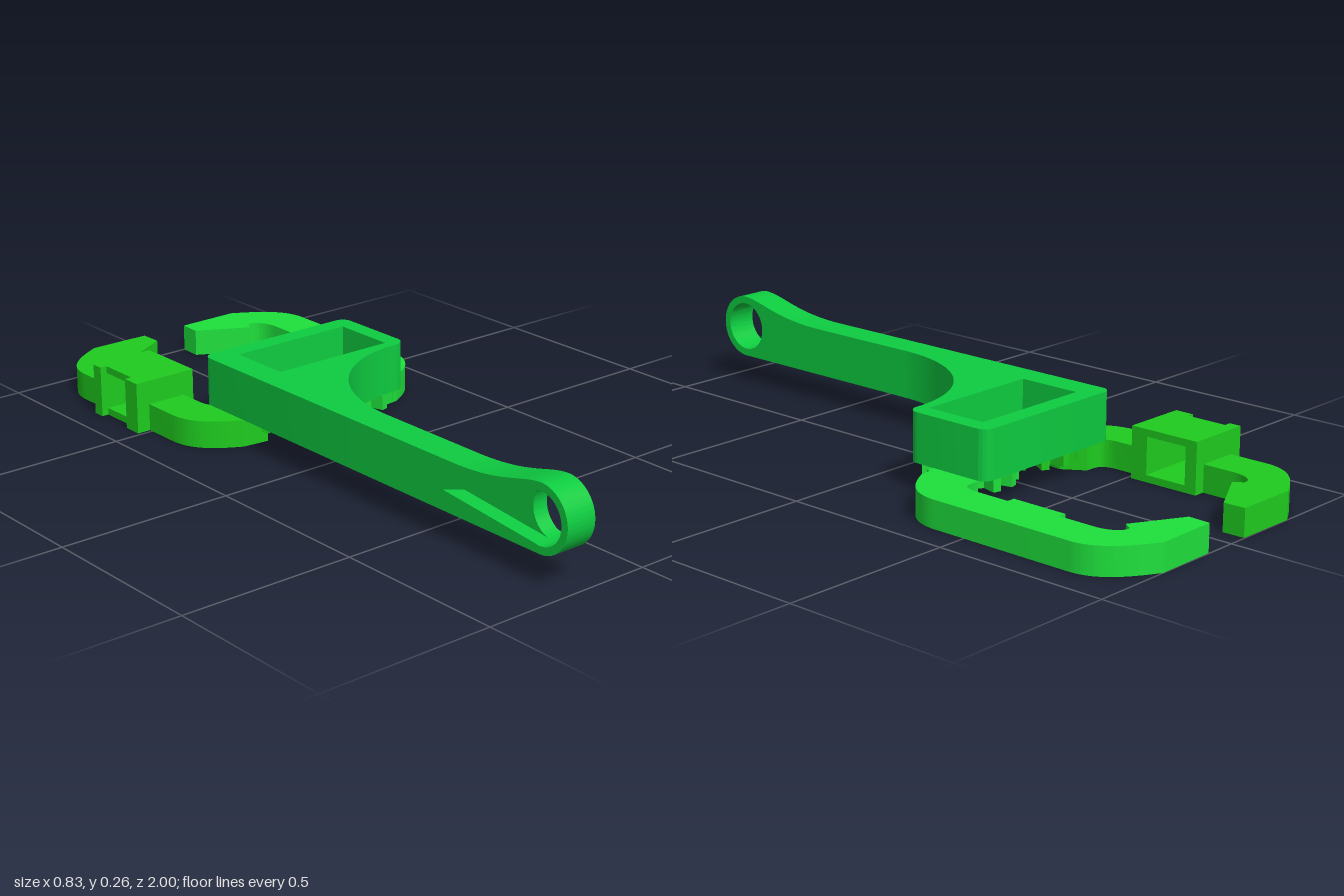
import * as THREE from 'three';
import { toCreasedNormals } from 'three/addons/utils/BufferGeometryUtils.js';

const mat = (color) => new THREE.MeshStandardMaterial({ color });
const handleMat = mat(0x0ecc40), rightMat = mat(0x1ee03c), leftMat = mat(0x1ecb1e);
const MID = 0.0175; // mirror axis of the two claws

function add(group, name, geometry, material) {
  const mesh = new THREE.Mesh(toCreasedNormals(geometry, 0.5), material);
  mesh.name = name;
  group.add(mesh);
  return mesh;
}

// Plan shape drawn in (x, -z), raised from y0 to y1
function plan(shape, y0, y1) {
  return new THREE.ExtrudeGeometry(shape, { depth: y1 - y0, bevelEnabled: false, curveSegments: 32 })
    .rotateX(-Math.PI / 2).translate(0, y0, 0);
}

// Side shape drawn in (z, y), spanning x0 to x1
function side(shape, x0, x1) {
  return new THREE.ExtrudeGeometry(shape, { depth: x1 - x0, bevelEnabled: false, curveSegments: 40 })
    .rotateY(-Math.PI / 2).translate(x1, 0, 0);
}

function box(x0, x1, y0, y1, z0, z1) {
  return new THREE.BoxGeometry(x1 - x0, y1 - y0, z1 - z0)
    .translate((x0 + x1) / 2, (y0 + y1) / 2, (z0 + z1) / 2);
}

function rect(T, x0, x1, y0, y1) {
  return new T([[x0, y0], [x1, y0], [x1, y1], [x0, y1]].map((p) => new THREE.Vector2(...p)));
}

function circle(x, y, r) {
  return new THREE.Path().absarc(x, y, r, 0, Math.PI * 2, true);
}

function makeHandle() {
  const g = new THREE.Group();
  g.name = 'handle';

  // Head with a window and a concave sweep into the grip
  const head = new THREE.Shape();
  head.moveTo(-0.26, -0.25);
  head.lineTo(-0.17, -0.25);
  head.absellipse(0.2, -0.25, 0.37, 0.395, Math.PI, Math.PI / 2, true);
  head.absarc(0.205, 0.18, 0.035, -Math.PI / 2, 0, false);
  head.absarc(0.21, 0.385, 0.03, 0, Math.PI / 2, false);
  head.absarc(-0.23, 0.385, 0.03, Math.PI / 2, Math.PI, false);
  head.holes.push(rect(THREE.Path, -0.18, 0.19, 0.175, 0.36));
  add(g, 'head', plan(head, 0.08, 0.217), handleMat);

  // Pivot floor in the window: round bore below, hexagonal nut seat above
  const lower = rect(THREE.Shape, 0.06, 0.19, 0.175, 0.36);
  lower.holes.push(circle(0.135, 0.27, 0.03));
  add(g, 'pivotFloor', plan(lower, 0.08, 0.105), handleMat);
  const upper = rect(THREE.Shape, 0.06, 0.19, 0.175, 0.36);
  const hex = [];
  for (let i = 0; i < 6; i++) {
    const a = i * Math.PI / 3;
    hex.push(new THREE.Vector2(0.135 + 0.05 * Math.cos(a), 0.27 + 0.05 * Math.sin(a)));
  }
  upper.holes.push(new THREE.Path(hex));
  add(g, 'nutSeat', plan(upper, 0.105, 0.13), handleMat);

  // Grip with an eye; one flank also has a tapering recess running into the eye
  const grip = (hole) => {
    const s = new THREE.Shape();
    s.moveTo(0.25, 0.08);
    s.lineTo(0.91, 0.08);
    s.absarc(0.91, 0.171, 0.091, -Math.PI / 2, Math.PI / 2, false);
    s.bezierCurveTo(0.84, 0.26, 0.78, 0.217, 0.6, 0.217);
    s.lineTo(0.25, 0.217);
    s.holes.push(hole);
    return s;
  };
  const recess = new THREE.Path();
  recess.moveTo(0.57, 0.135);
  recess.absarc(0.91, 0.171, 0.07, -1.8, 1.75, false);
  recess.lineTo(0.57, 0.135);
  add(g, 'gripInnerHalf', side(grip(circle(0.91, 0.171, 0.07)), -0.215, -0.17), handleMat);
  add(g, 'gripOuterHalf', side(grip(recess), -0.26, -0.215), handleMat);
  return g;
}

function gearShape(cx, cz, teeth, phase, bore) {
  const s = new THREE.Shape();
  const step = Math.PI * 2 / teeth;
  // Each tooth: two root points and two narrower tip points
  for (let i = 0; i < teeth; i++) {
    [[-0.27, 0.083], [-0.17, 0.126], [0.17, 0.126], [0.27, 0.083]].forEach(([t, r], k) => {
      const a = phase + (i + t) * step;
      const x = cx + r * Math.cos(a), y = -cz + r * Math.sin(a);
      if (i || k) s.lineTo(x, y); else s.moveTo(x, y);
    });
  }
  s.closePath();
  s.holes.push(circle(cx, -cz, bore));
  return s;
}

// One claw in left-hand coordinates; sx mirrors it, gap leaves room for a tunnel
function makeClaw(name, mirrored, gap, material) {
  const g = new THREE.Group();
  g.name = name;
  const X = (x) => (mirrored ? 2 * MID - x : x);

  // Jaw: hooked far end
  const [jawZ, armZ] = gap;
  const jaw = new THREE.Shape();
  jaw.moveTo(X(-0.38), -jawZ);
  jaw.lineTo(X(-0.38), 0.83);
  jaw.bezierCurveTo(X(-0.38), 0.91, X(-0.32), 0.955, X(-0.235), 1);
  jaw.lineTo(X(-0.055), 0.998);
  jaw.lineTo(X(-0.053), 0.935);
  jaw.lineTo(X(-0.197), 0.856);
  jaw.lineTo(X(-0.215), 0.882);
  jaw.bezierCurveTo(X(-0.245), 0.885, X(-0.263), 0.85, X(-0.263), 0.81);
  jaw.lineTo(X(-0.263), -jawZ);
  add(g, 'jaw', plan(jaw, 0, 0.077), material);

  // Arm: near end bending in to the gear
  const arm = new THREE.Shape();
  arm.moveTo(X(-0.38), -armZ);
  arm.lineTo(X(-0.38), 0.4);
  arm.bezierCurveTo(X(-0.378), 0.33, X(-0.34), 0.285, X(-0.255), 0.243);
  arm.lineTo(X(-0.18), 0.235);
  arm.lineTo(X(-0.165), 0.27);
  arm.lineTo(X(-0.16), 0.325);
  arm.lineTo(X(-0.2), 0.385);
  arm.lineTo(X(-0.235), 0.387);
  arm.quadraticCurveTo(X(-0.26), 0.39, X(-0.263), 0.43);
  arm.lineTo(X(-0.263), -armZ);
  add(g, 'arm', plan(arm, 0, 0.077), material);

  // Gear, with meshing phases on the two sides
  const teeth = 12;
  const gear = gearShape(X(-0.1), -0.27, teeth, mirrored ? Math.PI / teeth : 0, mirrored ? 0.03 : 0.06);
  add(g, 'gear', plan(gear, mirrored ? 0.033 : 0.039, 0.077), material);
  return g;
}

export function createModel() {
  const model = new THREE.Group();
  model.name = 'gripper';
  model.add(makeHandle());

  // Plain claw with a pad facing inward
  const right = makeClaw('padClaw', true, [-0.62, -0.62], rightMat);
  add(right, 'pad', box(0.275, 0.31, 0, 0.077, -0.705, -0.54), rightMat);
  model.add(right);

  // Claw with a hollow sleeve, open from side to side
  const left = makeClaw('sleeveClaw', false, [-0.685, -0.56], leftMat);
  const frame = rect(THREE.Shape, -0.72, -0.51, 0, 0.145);
  frame.holes.push(rect(THREE.Path, -0.685, -0.56, 0.02, 0.125));
  add(left, 'sleeve', side(frame, -0.4, -0.23), leftMat);
  for (const [z0, z1] of [[-0.72, -0.685], [-0.565, -0.51]]) {
    add(left, 'sleeveFlange', box(-0.42, -0.4, 0, 0.145, z0, z1), leftMat);
  }
  model.add(left);
  return model;
}
